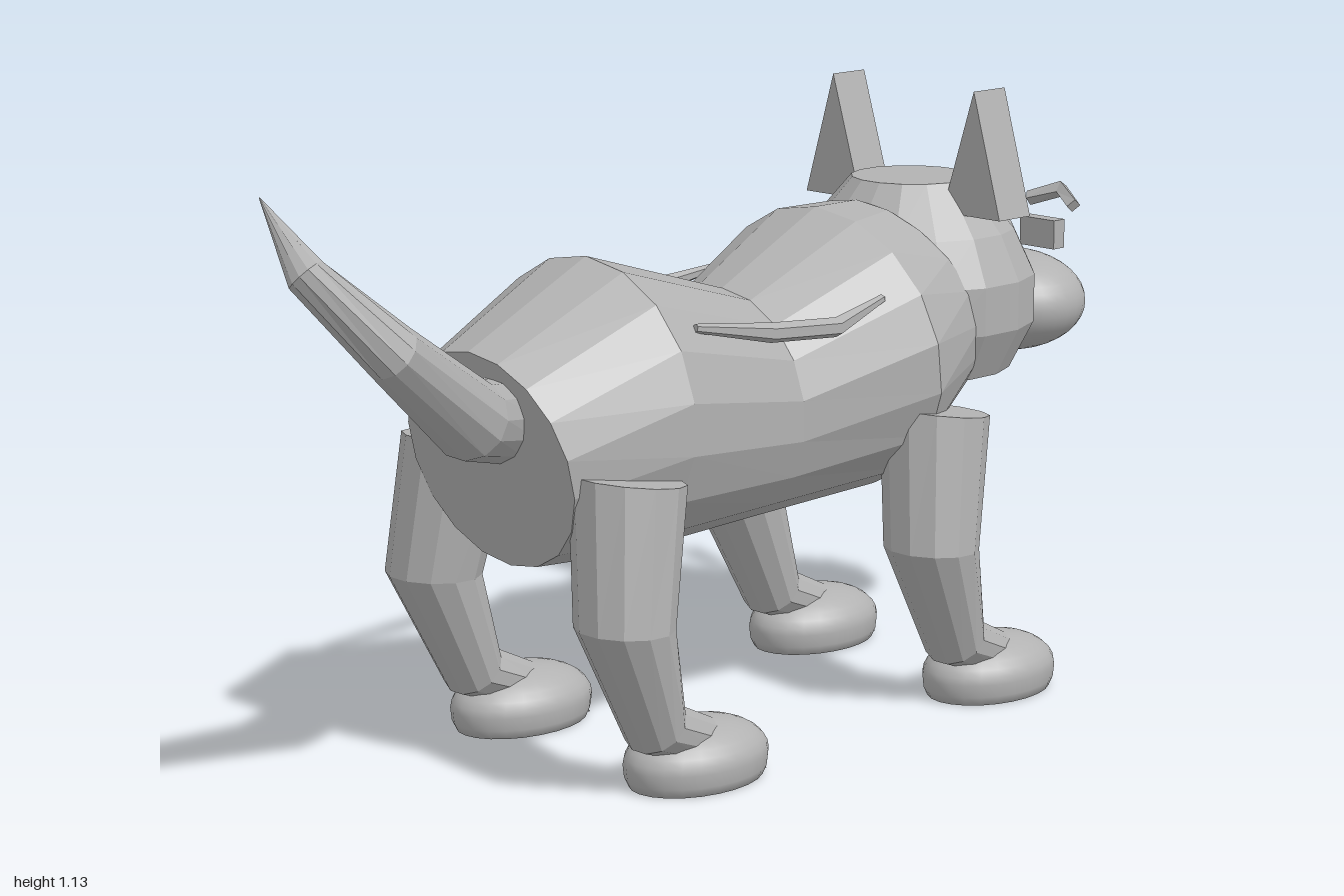
import * as THREE from 'three';

const grey = new THREE.MeshStandardMaterial({ color: 0xb2b2b2 });
grey.name = 'grey';

function add(parent, name, geometry, x = 0, y = 0, z = 0) {
  const mesh = new THREE.Mesh(geometry, grey);
  mesh.name = name;
  mesh.position.set(x, y, z);
  parent.add(mesh);
  return mesh;
}

// Faceted, capped skin through rings { c: centre, n: normal, rx, ry }
function loft(rings, sides) {
  const pos = [], index = [];
  for (const { c, n, rx, ry } of rings) {
    const u = new THREE.Vector3(1, 0, 0).addScaledVector(n, -n.x).normalize();
    const v = n.clone().cross(u);
    for (let j = 0; j < sides; j++) {
      const a = ((j + 0.5) / sides) * Math.PI * 2;
      const p = c.clone().addScaledVector(u, rx * Math.cos(a)).addScaledVector(v, ry * Math.sin(a));
      pos.push(p.x, p.y, p.z);
    }
  }
  const last = (rings.length - 1) * sides, start = rings.length * sides;
  for (const r of [rings[0], rings[rings.length - 1]]) pos.push(r.c.x, r.c.y, r.c.z);
  for (let j = 0; j < sides; j++) {
    const k = (j + 1) % sides;
    for (let i = 0; i < last; i += sides) {
      index.push(i + j, i + k, i + sides + k, i + j, i + sides + k, i + sides + j);
    }
    index.push(start, k, j, start + 1, last + j, last + k);
  }
  const g = new THREE.BufferGeometry();
  g.setAttribute('position', new THREE.Float32BufferAttribute(pos, 3));
  g.setIndex(index);
  const flat = g.toNonIndexed();
  flat.computeVertexNormals();
  return flat;
}

// Ring spanning two opposite side-profile points (z, y)
function ring(z1, y1, z2, y2, rx, x = 0) {
  const dy = y1 - y2, dz = z1 - z2;
  return {
    c: new THREE.Vector3(x, (y1 + y2) / 2, (z1 + z2) / 2),
    n: new THREE.Vector3(0, dz, -dy).normalize(),
    rx, ry: Math.hypot(dy, dz) / 2,
  };
}

// Rings along a path of [x, y, z, radius]
function pathRings(points) {
  const c = points.map((p) => new THREE.Vector3(p[0], p[1], p[2]));
  return points.map((p, i) => ({
    c: c[i],
    n: c[Math.min(i + 1, c.length - 1)].clone().sub(c[Math.max(i - 1, 0)]).normalize(),
    rx: p[3], ry: p[3],
  }));
}

function prism(points, depth) {
  const shape = new THREE.Shape(points.map((p) => new THREE.Vector2(p[0], p[1])));
  return new THREE.ExtrudeGeometry(shape, { depth, bevelEnabled: false });
}

// Rounded paw with a flat sole
function pawGeometry() {
  const g = new THREE.SphereGeometry(1, 24, 16);
  const p = g.attributes.position;
  for (let i = 0; i < p.count; i++) {
    const y = p.getY(i);
    p.setXYZ(i, p.getX(i) * 0.104, y > 0 ? y * 0.07 : Math.max(y * 3, -1) * 0.04, p.getZ(i) * 0.147);
  }
  g.computeVertexNormals();
  return g;
}

function makeLeg(name, s, z) {
  const leg = new THREE.Group();
  leg.name = name;
  leg.position.z = z;
  add(leg, 'legSegments', loft([
    ring(0.265, 0.555, 0.47, 0.585, 0.1, s * 0.22),
    ring(0.32, 0.32, 0.49, 0.325, 0.09, s * 0.25),
    ring(0.285, 0.165, 0.365, 0.09, 0.066, s * 0.24),
    ring(0.195, 0.12, 0.25, 0.05, 0.055, s * 0.235),
  ], 12));
  add(leg, 'paw', pawGeometry(), s * 0.23, 0.05, 0.217);
  // Claws along the toe edge
  for (const t of [-1, 0, 1]) {
    const claw = add(leg, 'claw', new THREE.ConeGeometry(0.013, 0.035, 8),
      s * 0.23 + t * 0.05, 0.018, 0.088 + Math.abs(t) * 0.02);
    claw.rotation.x = -2;
  }
  return leg;
}

export function createModel() {
  const model = new THREE.Group();
  model.name = 'dog';

  add(model, 'body', loft([
    ring(0.53, 0.78, 0.44, 0.39, 0.21),
    ring(0.26, 0.91, 0.26, 0.38, 0.275),
    ring(-0.07, 0.81, -0.07, 0.385, 0.21),
    ring(-0.31, 0.93, -0.37, 0.4, 0.29),
    ring(-0.42, 0.93, -0.62, 0.555, 0.215),
  ], 18));

  // Head, stacked rings around the vertical axis
  const up = new THREE.Vector3(0, 1, 0);
  const headProfile = [[0.19, 0.6], [0.235, 0.69], [0.235, 0.78], [0.195, 0.865], [0.115, 0.96]];
  add(model, 'head', loft(headProfile.map(([r, y]) => (
    { c: new THREE.Vector3(0, y, -0.57), n: up, rx: r, ry: r })), 16));

  const snout = add(model, 'snout', new THREE.SphereGeometry(1, 32, 20), 0, 0.687, -0.85);
  snout.scale.set(0.155, 0.098, 0.145);
  add(model, 'nose', loft([
    ring(-0.96, 0.73, -0.96, 0.66, 0.06),
    ring(-1.0, 0.72, -1.0, 0.67, 0.052),
  ], 8));

  add(model, 'tail', loft(pathRings([
    [0.0, 0.65, 0.46, 0.075], [0.095, 0.69, 0.61, 0.07], [0.175, 0.85, 0.84, 0.05],
    [0.125, 0.985, 0.968, 0.035], [-0.02, 1.088, 0.945, 0.001],
  ]), 12));

  for (const s of [-1, 1]) {
    const side = s > 0 ? 'left' : 'right';
    // Legs, hind and front pairs share one shape
    model.add(makeLeg(side + 'HindLeg', s, 0), makeLeg(side + 'FrontLeg', s, -0.768));

    // Ear with a raised inner panel
    const at = (pts) => pts.map(([x, y]) => [s * x, y]);
    add(model, side + 'Ear', prism(at([[0.246, 0.905], [0.178, 1.137], [0.105, 0.905]]), 0.085), 0, 0, -0.625);
    add(model, side + 'InnerEar', prism(at([[0.222, 0.92], [0.177, 1.07], [0.13, 0.92]]), 0.022), 0, 0, -0.645);

    // Eye block, pupil and bent brow
    add(model, side + 'Eye', new THREE.BoxGeometry(0.085, 0.055, 0.03), s * 0.12, 0.838, -0.808);
    add(model, side + 'Pupil', new THREE.BoxGeometry(0.035, 0.035, 0.012), s * 0.11, 0.836, -0.827);
    add(model, side + 'Brow', loft(pathRings([
      [s * 0.178, 0.892, -0.83, 0.014], [s * 0.13, 0.917, -0.85, 0.016], [s * 0.07, 0.895, -0.825, 0.014],
    ]), 4));

    // Slim bent strip along the flank
    add(model, side + 'FlankStrip', loft(pathRings([
      [s * 0.215, 0.795, -0.26, 0.008], [s * 0.245, 0.768, -0.11, 0.018],
      [s * 0.225, 0.775, 0.03, 0.018], [s * 0.195, 0.8, 0.185, 0.008],
    ]), 6));
  }
  return model;
}
